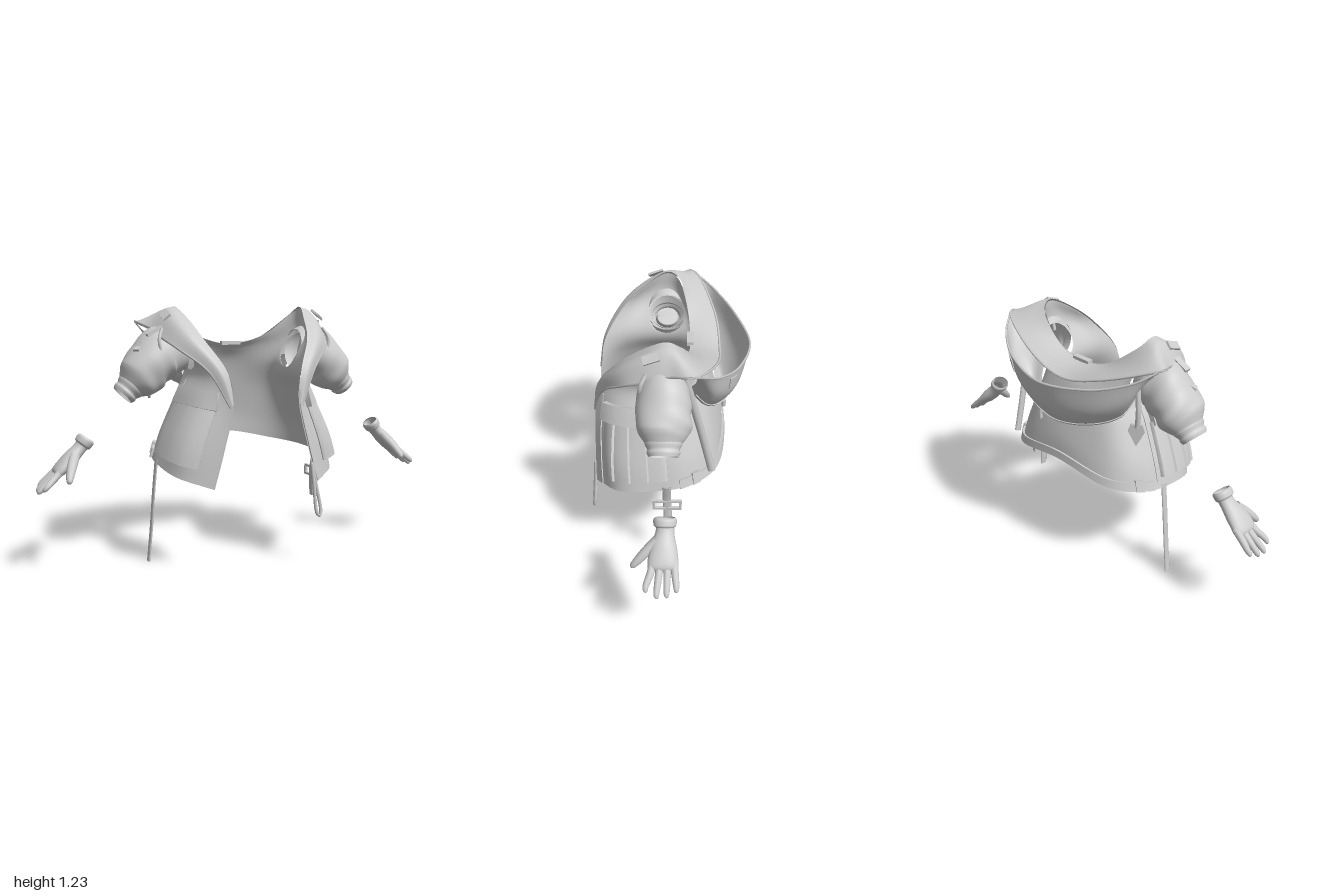
import * as THREE from 'three';
import { mergeVertices, toCreasedNormals } from 'three/addons/utils/BufferGeometryUtils.js';

const V = (a) => new THREE.Vector3(...a);
const curve = (pts) => new THREE.CatmullRomCurve3(pts.map((p) => (p.isVector3 ? p : V(p))), false, 'catmullrom', 0.5);

// Grid of quads over f(u, v); quads whose four corners all satisfy hole() are left out
function grid(us, vs, f, hole) {
  const pos = [], idx = [], pts = [];
  vs.forEach((v, j) => us.forEach((u, i) => { const p = f(u, v, i, j); pts.push(p); pos.push(p.x, p.y, p.z); }));
  const n = us.length;
  for (let j = 0; j < vs.length - 1; j++) for (let i = 0; i < n - 1; i++) {
    const a = j * n + i;
    if (hole && [a, a + 1, a + n, a + n + 1].every((k) => hole(pts[k]))) continue;
    idx.push(a, a + 1, a + n + 1, a, a + n + 1, a + n);
  }
  let g = new THREE.BufferGeometry();
  g.setAttribute('position', new THREE.Float32BufferAttribute(pos, 3));
  g.setIndex(idx);
  g = mergeVertices(g, 1e-5);
  g.computeVertexNormals();
  return g;
}
const steps = (n, a = 0, b = 1) => Array.from({ length: n + 1 }, (_, i) => a + (b - a) * i / n);

// Smooth surface through rows of half outlines (side to centre back), mirrored across x
function surface(rows) {
  const curves = rows.map((r) => curve([...r, ...r.slice(0, -1).reverse().map(([x, y, z]) => [-x, y, z])]));
  return (u, v) => curve(curves.map((c) => c.getPoint(u))).getPoint(v);
}

// Raised panel lying on a surface, with turned-down borders
function patch(S, u0, u1, v0, v1, h, n = 14, m = 8, pleat = () => 0) {
  const us = [u0, ...steps(n, u0, u1), u1], vs = [v0, ...steps(m, v0, v1), v1];
  return toCreasedNormals(grid(us, vs, (u, v, i, j) => {
    const p = S(u, v), e = 0.004;
    const du = S(Math.min(1, u + e), v).sub(S(Math.max(0, u - e), v));
    const dv = S(u, Math.min(1, v + e)).sub(S(u, Math.max(0, v - e)));
    const nrm = du.cross(dv).normalize();
    if (nrm.x * p.x + nrm.z * p.z < 0) nrm.negate();
    const edge = i === 0 || j === 0 || i === us.length - 1 || j === vs.length - 1;
    return p.addScaledVector(nrm, edge ? 0.0015 : h + pleat((u - u0) / (u1 - u0), (v - v0) / (v1 - v0)));
  }), 0.6);
}

// Thin piping along the line v = const of a surface
const piping = (S, v0, r) => grid(steps(90), steps(6), (u, v) => {
  const a = v * Math.PI * 2;
  return S(u, v0).add(V([0, Math.cos(a) * r, Math.sin(a) * r]));
});

// Tube with oval sections: r across, rz along z; fold adds cloth wrinkles
function limb(pts, r, rz = r, sides = 16, rings = 24, fold = () => 0) {
  const path = curve(pts), rad = curve(r.map((a, i) => [a, rz[i], 0]));
  return grid(steps(sides), steps(rings), (u, v) => {
    const p = path.getPoint(v), t = path.getTangent(v), q = rad.getPoint(v), a = (u % 1) * Math.PI * 2;
    const side = new THREE.Vector3(0, 0, 1).addScaledVector(t, -t.z).normalize();
    const nrm = new THREE.Vector3().crossVectors(side, t);
    const k = 1 + fold(a, v);
    return p.addScaledVector(nrm, Math.cos(a) * Math.max(0, q.x) * k).addScaledVector(side, Math.sin(a) * Math.max(0, q.y) * k);
  });
}

export function createModel() {
  const model = new THREE.Group();
  const grey = new THREE.MeshStandardMaterial({ color: 0xcccccc, side: THREE.DoubleSide });
  grey.name = 'plain grey';
  const add = (name, geo, parent = model) => {
    const m = new THREE.Mesh(geo, grey);
    m.name = name;
    parent.add(m);
    return m;
  };
  const box = (name, size, at, rot = [0, 0, 0], parent = model) => {
    const m = add(name, new THREE.BoxGeometry(...size), parent);
    m.position.set(...at);
    m.rotation.set(...rot);
  };
  const strap = (name, pts, w, t = 0.006, parent = model) =>
    add(name, limb(pts, pts.map(() => t), pts.map(() => w), 8, 16), parent);

  // Open jacket shell, hem to neckline, narrow below the armholes
  const body = surface([
    [[0.26, 0.4, 0.345], [0.39, 0.44, 0.24], [0.43, 0.47, 0.08], [0.42, 0.50, -0.09], [0.29, 0.53, -0.23], [0, 0.58, -0.265]],
    [[0.21, 0.58, 0.345], [0.345, 0.6, 0.25], [0.385, 0.61, 0.09], [0.38, 0.63, -0.08], [0.27, 0.65, -0.21], [0, 0.69, -0.25]],
    [[0.165, 0.78, 0.34], [0.265, 0.79, 0.24], [0.305, 0.8, 0.1], [0.305, 0.8, -0.06], [0.23, 0.81, -0.18], [0, 0.83, -0.21]],
    [[0.187, 0.93, 0.315], [0.232, 0.93, 0.2], [0.25, 0.93, 0.09], [0.252, 0.93, -0.05], [0.21, 0.94, -0.135], [0, 0.95, -0.17]],
    [[0.262, 1.06, 0.23], [0.31, 1.08, 0.14], [0.33, 1.1, 0.05], [0.32, 1.09, -0.04], [0.21, 1.04, -0.11], [0, 1.01, -0.13]],
    [[0.29, 1.12, 0.17], [0.315, 1.18, 0.09], [0.335, 1.215, 0.01], [0.305, 1.185, -0.05], [0.18, 1.085, -0.09], [0, 1.04, -0.1]],
  ]);
  // Round armholes: points inside the circle are moved out to its rim
  const R = 0.085, armY = 1.01, armZ = 0.015;
  const fromArm = (p) => (Math.abs(p.x) > 0.2 ? Math.hypot(p.y - armY, p.z - armZ) : 1);
  add('jacketBody', grid(steps(120), steps(60), (u, v) => {
    const p = body(u, v), d = fromArm(p);
    if (d < R) {
      p.y = armY + (p.y - armY) * R / d;
      p.z = armZ + (p.z - armZ) * R / d;
    }
    return p;
  }, (p) => fromArm(p) < R + 1e-4));

  // Lapels running into the wide collar band behind the neck
  const collar = surface([
    [[0.165, 0.78, 0.343], [0.187, 0.93, 0.318], [0.262, 1.07, 0.23], [0.3, 1.165, 0.12], [0.33, 1.225, 0.01], [0.3, 1.18, -0.06], [0.15, 1.07, -0.095], [0, 1.04, -0.1]],
    [[0.172, 0.78, 0.35], [0.23, 0.94, 0.32], [0.325, 1.07, 0.23], [0.37, 1.155, 0.12], [0.385, 1.205, 0], [0.395, 1.165, -0.1], [0.2, 1.07, -0.16], [0, 1.03, -0.17]],
    [[0.185, 0.77, 0.345], [0.27, 0.93, 0.295], [0.38, 1.03, 0.2], [0.43, 1.08, 0.1], [0.455, 1.125, -0.01], [0.485, 1.15, -0.125], [0.24, 1.06, -0.22], [0, 1.0, -0.24]],
  ]);
  add('collar', grid(steps(90), steps(16), collar));
  add('collarPiping', piping(collar, 0.99, 0.006));

  // Lowered hood: an open pouch hanging behind the collar
  const hood = surface([
    [[0.485, 1.148, -0.125], [0.4, 1.095, -0.225], [0.24, 1.05, -0.32], [0, 1.03, -0.38]],
    [[0.41, 1.07, -0.12], [0.37, 0.98, -0.21], [0.22, 0.915, -0.3], [0, 0.89, -0.345]],
    [[0.34, 1.0, -0.09], [0.3, 0.88, -0.165], [0.18, 0.82, -0.24], [0, 0.79, -0.27]],
    [[0.27, 0.98, -0.08], [0.24, 0.89, -0.145], [0.16, 0.835, -0.205], [0, 0.81, -0.222]],
  ]);
  add('hood', grid(steps(60), steps(24), hood));
  add('hoodPiping', piping(hood, 0.005, 0.006));
  add('hoodSeam', patch(hood, 0.06, 0.94, 0.56, 0.6, 0.006, 50, 1));
  add('hoodPatch', patch(hood, 0.25, 0.31, 0.08, 0.22, 0.006, 4, 3));

  // Hem band, plackets, pockets and flaps laid on the shell
  add('hemBand', patch(body, 0.28, 0.72, 0, 0.07, 0.012, 50, 2));
  [(u) => u, (u) => 1 - u].forEach((m) => {
    add('placket', patch(body, m(0.002), m(0.035), 0, 0.5, 0.007, 3, 30));
    add('pocket', patch(body, m(0.055), m(0.25), 0.08, 0.38, 0.006, 48, 10, (s, t) =>
      0.022 * (1 - t * 0.4) * Math.sqrt(Math.sin(Math.PI * Math.min(1, s))) + 0.012 * ((s * 4) % 1) * (1 - s * 0.3)));
    add('pocketFlap', patch(body, m(0.05), m(0.245), 0.36, 0.46, 0.03, 16, 3));
    add('sideSeam', patch(body, m(0.262), m(0.267), 0.06, 0.52, 0.005, 1, 24));
    add('hemLoop', patch(body, m(0.315), m(0.335), 0, 0.09, 0.02, 2, 2));
  });
  box('neckTab', [0.1, 0.018, 0.03], [0, 1.045, -0.1]);
  box('hemTab', [0.06, 0.016, 0.02], [0, 0.585, -0.255]);

  // Short puffed sleeve with an open cuff
  const half = new THREE.Group();
  half.name = 'leftArm';
  model.add(half);
  const fold = (a, v) => Math.sin(Math.PI * v) * (0.04 * Math.sin(v * 24 + 3 * Math.sin(a + 0.6)) * (0.55 - 0.45 * Math.cos(a - 0.8)) + 0.03 * Math.sin(3 * a + v * 8));
  add('sleeve', limb([[0.295, 1.02, 0.015], [0.385, 1.01, 0.015], [0.46, 0.952, 0.015], [0.515, 0.89, 0.015], [0.56, 0.845, 0.015]],
    [0.095, 0.128, 0.117, 0.105, 0.06], [0.092, 0.115, 0.12, 0.115, 0.07], 40, 56, fold), half);
  add('cuff', limb([[0.54, 0.865, 0.015], [0.555, 0.85, 0.015], [0.57, 0.835, 0.015], [0.58, 0.825, 0.015], [0.592, 0.813, 0.015]],
    [0.07, 0.068, 0.058, 0.06, 0.053], [0.083, 0.081, 0.07, 0.073, 0.064], 28, 20), half);
  add('cuffLining', limb([[0.55, 0.855, 0.015], [0.592, 0.813, 0.015]], [0.046, 0.053], [0.056, 0.064], 28, 4), half);
  box('shoulderTab', [0.04, 0.01, 0.075], [0.398, 1.185, 0.07], [0.35, 0, -0.7], half);
  strap('shoulderCord', [[0.42, 1.12, 0.09], [0.44, 1.07, 0.115], [0.43, 1.0, 0.12]], 0.01, 0.008, half);

  // Glove with an open rolled cuff
  const glove = new THREE.Group();
  glove.name = 'glove';
  half.add(glove);
  add('palm', limb([[0.77, 0.608, 0.005], [0.8, 0.572, 0.005], [0.845, 0.528, 0.01], [0.89, 0.485, 0.012], [0.91, 0.465, 0.012], [0.92, 0.455, 0.012]],
    [0.034, 0.03, 0.034, 0.029, 0.02, 0], [0.041, 0.04, 0.057, 0.065, 0.055, 0], 20, 24), glove);
  add('gloveCuff', limb([[0.762, 0.622, 0.005], [0.767, 0.615, 0.005], [0.775, 0.604, 0.005], [0.783, 0.593, 0.005], [0.788, 0.587, 0.005]],
    [0.036, 0.042, 0.042, 0.04, 0.031], [0.044, 0.05, 0.05, 0.047, 0.038], 24, 16), glove);
  [[0.054, 0.083, 0.982], [0.024, 0.037, 1.0], [-0.007, -0.005, 0.997], [-0.036, -0.045, 0.982]].forEach(([z0, z1, x]) => {
    const y = 1.38 - x;
    add('finger', limb([[0.88, 0.492, z0], [0.92, 0.457, z0 * 0.7 + z1 * 0.3], [x - 0.02, y + 0.022, z1], [x - 0.004, y + 0.005, z1], [x, y, z1]],
      [0.018, 0.017, 0.014, 0.009, 0], undefined, 10, 14), glove);
  });
  add('thumb', limb([[0.825, 0.55, 0.035], [0.85, 0.505, 0.085], [0.868, 0.465, 0.125], [0.875, 0.444, 0.145], [0.876, 0.44, 0.15]],
    [0.025, 0.023, 0.018, 0.011, 0], undefined, 12, 14), glove);

  const other = half.clone();
  other.name = 'rightArm';
  other.scale.x = -1;
  model.add(other);

  // Long hanging strap on the right
  strap('longStrap', [[-0.43, 0.5, 0.01], [-0.445, 0.35, 0.01], [-0.46, 0.17, 0.012], [-0.477, 0.0, 0.012]], 0.018);

  // Buckle and short strap on the left
  strap('buckleStrap', [[0.435, 0.5, 0.005], [0.415, 0.4, 0.003], [0.415, 0.32, 0], [0.42, 0.25, 0]], 0.02);
  const frame = new THREE.Shape([[-0.07, -0.027], [0.07, -0.027], [0.07, 0.027], [-0.07, 0.027]].map((p) => new THREE.Vector2(...p)));
  [[-0.058, -0.008], [0.008, 0.058]].forEach(([a, b]) => frame.holes.push(
    new THREE.Path([[a, -0.016], [a, 0.016], [b, 0.016], [b, -0.016]].map((p) => new THREE.Vector2(...p)))));
  const buckle = add('buckle', new THREE.ExtrudeGeometry(frame, { depth: 0.014, bevelEnabled: false }));
  buckle.rotation.y = Math.PI / 2;
  buckle.position.set(0.41, 0.378, 0.003);

  // Drawcord loop at the left front edge
  const loop = [[0.232, 0.49, 0.352], [0.24, 0.38, 0.36], [0.252, 0.25, 0.37], [0.268, 0.235, 0.368], [0.275, 0.26, 0.364], [0.255, 0.38, 0.354]];
  add('drawcord', new THREE.TubeGeometry(new THREE.CatmullRomCurve3(loop.map(V), true), 48, 0.008, 8, true));

  // Back strap on the left, zip pull and pointed tag on the right
  strap('backStrap', [[0.40, 1.1, -0.07], [0.385, 0.95, -0.11], [0.375, 0.75, -0.16], [0.375, 0.56, -0.205]], 0.018, 0.012);
  strap('zipPull', [[0.12, 0.81, -0.255], [0.125, 0.78, -0.262], [0.125, 0.75, -0.262]], 0.01, 0.008);
  strap('tagCord', [[-0.4, 1.05, -0.16], [-0.415, 0.95, -0.17], [-0.41, 0.87, -0.17]], 0.012, 0.012);
  const tag = new THREE.Shape([[0, -0.065], [0.038, 0.01], [0.025, 0.045], [-0.025, 0.045], [-0.038, 0.01]].map((p) => new THREE.Vector2(...p)));
  const tagMesh = add('pointedTag', new THREE.ExtrudeGeometry(tag, { depth: 0.014, bevelEnabled: false }));
  tagMesh.position.set(-0.41, 0.84, -0.175);
  tagMesh.rotation.y = 0.6;

  // Small clips on the right shoulder
  [[-0.45, 1.11, 0.07], [-0.48, 1.07, 0.03], [-0.51, 1.04, 0.05]].forEach((at, i) =>
    box('shoulderClip', [0.08, 0.014, 0.035], at, [0, 0.3 * i, 0.5]));
  return model;
}
